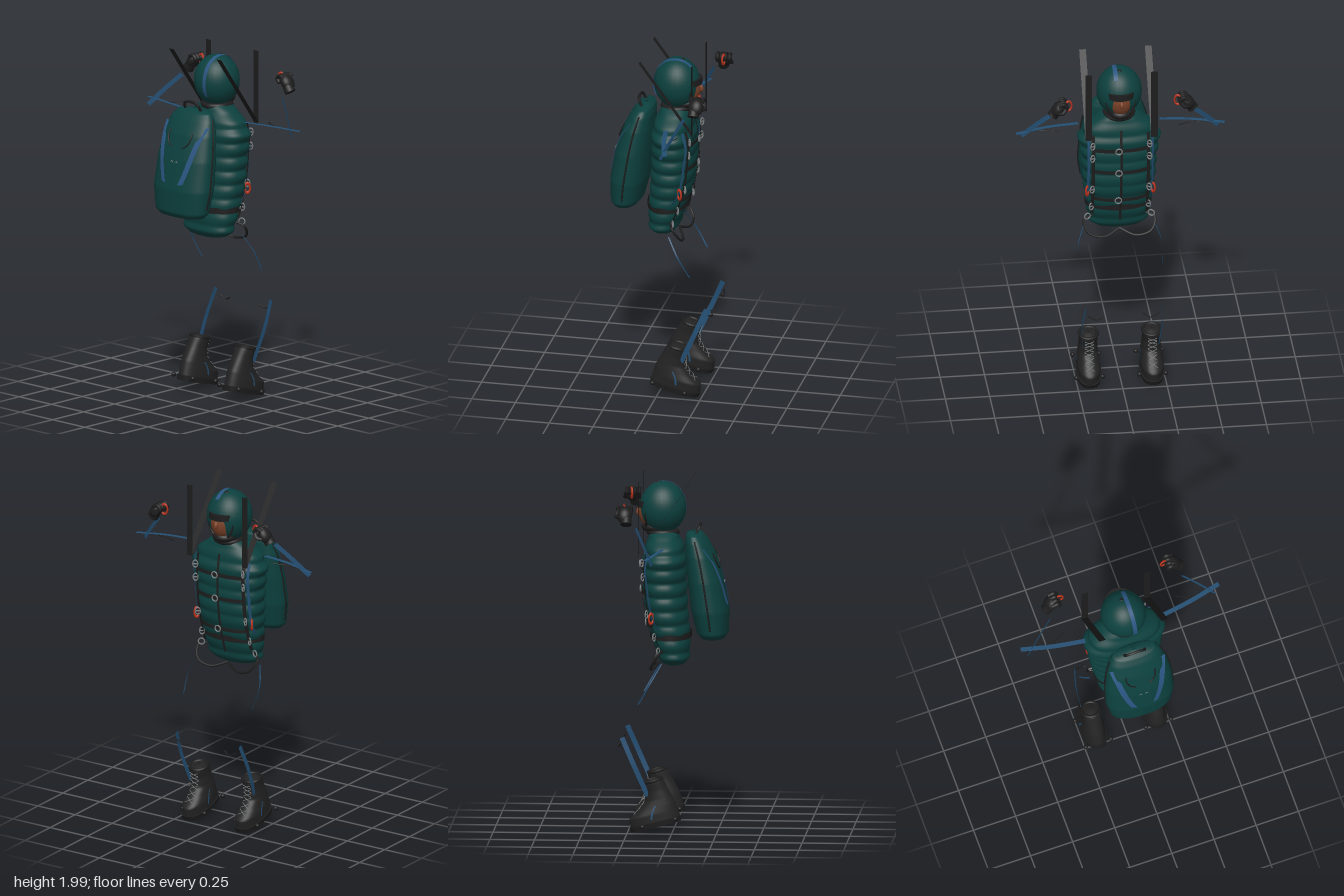
import * as THREE from 'three';
import { mergeVertices } from 'three/addons/utils/BufferGeometryUtils.js';

const mat = (name, color) => {
  const m = new THREE.MeshStandardMaterial({ color, side: THREE.DoubleSide });
  m.name = name;
  return m;
};
const M = {
  teal: mat('teal fabric', 0x0c403e), black: mat('black webbing', 0x1d1d1d), blue: mat('blue webbing', 0x234e72),
  panel: mat('blue panel', 0x2a5480), metal: mat('grey metal', 0x767a7c), red: mat('red metal', 0xb8321c),
  skin: mat('skin', 0x7a4229), boot: mat('boot leather', 0x222222),
};
const V = (p) => new THREE.Vector3(...p);

// Sections are [y, half width, half depth, z centre], interpolated by height
function sectionAt(secs, y) {
  let i = 0;
  while (i < secs.length - 2 && y > secs[i + 1][0]) i++;
  const a = secs[i], b = secs[i + 1];
  const t = THREE.MathUtils.clamp((y - a[0]) / (b[0] - a[0]), 0, 1);
  return a.map((v, k) => v + (b[k] - v) * t);
}
// Closed superellipse body, with optional quilted puffs
function loft(secs, n, rows = 50, puff = 0, period = 0.08) {
  let g = new THREE.CylinderGeometry(1, 1, 1, 48, rows, true);
  const p = g.attributes.position, y0 = secs[0][0], y1 = secs[secs.length - 1][0];
  const pow = (v) => Math.sign(v) * Math.abs(v) ** (2 / n);
  for (let i = 0; i < p.count; i++) {
    const y = y0 + (y1 - y0) * (p.getY(i) + 0.5);
    const [, w, d, z] = sectionAt(secs, y);
    const k = 1 + puff * (Math.abs(Math.sin(((y - y0) / period) * Math.PI)) - 0.6);
    p.setXYZ(i, w * k * pow(p.getX(i)), y, z + d * k * pow(p.getZ(i)));
  }
  g.deleteAttribute('uv');
  g.deleteAttribute('normal');
  g = mergeVertices(g, 1e-5);
  g.computeVertexNormals();
  return g;
}
// Depth of the surface of such a body at x, y
function surfaceZ(secs, n, x, y, side) {
  const [, w, d, z] = sectionAt(secs, y);
  return z + side * d * Math.max(0, 1 - Math.min(1, Math.abs(x) / w) ** n) ** (1 / n);
}
function add(parent, name, geo, material, pos = [0, 0, 0], rot = [0, 0, 0], scale = [1, 1, 1]) {
  const m = new THREE.Mesh(geo, material);
  m.name = name;
  m.position.set(...pos);
  m.rotation.set(...rot);
  m.scale.set(...scale);
  parent.add(m);
  return m;
}
// Flat strip along a curve, widened in a fixed direction
function ribbon(pts, dir, width, steps = 24) {
  const c = new THREE.CatmullRomCurve3(pts.map(V)), d = V(dir).normalize();
  const pos = [], idx = [];
  for (let i = 0; i <= steps; i++) {
    const p = c.getPoint(i / steps);
    for (const s of [-0.5, 0.5]) pos.push(...p.clone().addScaledVector(d, s * width).toArray());
    if (i) idx.push(2 * i - 2, 2 * i - 1, 2 * i, 2 * i, 2 * i - 1, 2 * i + 1);
  }
  const g = new THREE.BufferGeometry();
  g.setAttribute('position', new THREE.Float32BufferAttribute(pos, 3));
  g.setIndex(idx);
  g.computeVertexNormals();
  return g;
}
const tube = (pts, r) => new THREE.TubeGeometry(new THREE.CatmullRomCurve3(pts.map(V)), 24, r, 6);
const ball = new THREE.SphereGeometry(1, 28, 20);

const TORSO = [[0.935, 0.01, 0.01, 0], [0.945, 0.12, 0.06, 0], [0.98, 0.165, 0.085, 0], [1.1, 0.18, 0.105, -0.02],
  [1.25, 0.2, 0.118, -0.045], [1.42, 0.21, 0.122, -0.055], [1.54, 0.23, 0.12, -0.055], [1.61, 0.195, 0.105, -0.055],
  [1.66, 0.14, 0.09, -0.06], [1.7, 0.07, 0.07, -0.06]];
const PACK = [[1.088, 0.01, 0.01, 0.22], [1.092, 0.15, 0.065, 0.218], [1.12, 0.18, 0.088, 0.215], [1.25, 0.2, 0.106, 0.2],
  [1.42, 0.195, 0.1, 0.175], [1.56, 0.175, 0.085, 0.147], [1.64, 0.15, 0.065, 0.125], [1.68, 0.12, 0.045, 0.112], [1.695, 0.01, 0.01, 0.108]];
const onChest = (x, y, lift = 0.012) => [x, y, surfaceZ(TORSO, 2.4, x, y, -1) - lift];
const onPack = (x, y) => [x, y, surfaceZ(PACK, 2.3, x, y, 1) + 0.005];

function buildBoot() {
  const boot = new THREE.Group();
  boot.name = 'boot';
  const upper = [[0.02, 0.01, 0.01, 0], [0.025, 0.066, 0.142, 0], [0.075, 0.066, 0.138, 0.002], [0.11, 0.06, 0.108, 0.03],
    [0.15, 0.054, 0.078, 0.05], [0.2, 0.051, 0.063, 0.052], [0.25, 0.054, 0.058, 0.045], [0.262, 0.045, 0.045, 0.045], [0.264, 0.005, 0.005, 0.045]];
  add(boot, 'bootUpper', loft(upper, 2.2, 36), M.boot);
  add(boot, 'bootSole', loft([[0, 0.01, 0.01, 0], [0.001, 0.068, 0.142, 0], [0.03, 0.072, 0.147, 0], [0.034, 0.01, 0.01, 0]], 2.5, 30), M.black);
  add(boot, 'ankleCollar', new THREE.TorusGeometry(0.05, 0.01, 8, 28), M.black, [0, 0.255, 0.045], [Math.PI / 2, 0, 0]);
  // crossed laces over the instep
  for (let i = 0; i < 6; i++) {
    const y = 0.095 + i * 0.025;
    const z = (yy) => surfaceZ(upper, 2.2, 0.022, yy, -1) - 0.006;
    for (const s of [-1, 1]) {
      add(boot, 'lace', tube([[-s * 0.025, y, z(y)], [0, y + 0.01, z(y + 0.01) - 0.003], [s * 0.025, y + 0.02, z(y + 0.02)]], 0.002), M.metal);
    }
  }
  // blue side tabs and sole studs
  for (const s of [-1, 1]) {
    add(boot, 'sideTab', ribbon([[s * 0.068, 0.05, -0.01], [s * 0.066, 0.09, 0.005], [s * 0.061, 0.12, 0.03]], [0, 0.2, 1], 0.012), M.blue);
    for (const z of [0.12, -0.07]) add(boot, 'stud', ball, M.black, [s * 0.074, 0.022, z], [0, 0, 0], [0.013, 0.013, 0.013]);
  }
  boot.rotation.x = -0.25;
  boot.position.set(0.178, 0.045, -0.09);
  return boot;
}

function buildGlove() {
  const glove = new THREE.Group();
  glove.name = 'glove';
  add(glove, 'palm', ball, M.black, [0.365, 1.835, -0.255], [0, 0, 0.6], [0.033, 0.05, 0.042]);
  add(glove, 'cuff', new THREE.CylinderGeometry(0.028, 0.032, 0.04, 20), M.black, [0.385, 1.803, -0.245], [0, 0, 0.6]);
  for (let i = 0; i < 4; i++) {
    const z = -0.222 - i * 0.023;
    add(glove, 'finger', tube([[0.365, 1.865, z], [0.335, 1.875, z], [0.318, 1.855, z], [0.33, 1.838, z]], 0.011), M.black);
    add(glove, 'fingertip', ball, M.black, [0.33, 1.838, z], [0, 0, 0], [0.011, 0.011, 0.011]);
  }
  add(glove, 'thumb', tube([[0.37, 1.82, -0.285], [0.345, 1.825, -0.302], [0.325, 1.845, -0.295]], 0.011), M.black);
  add(glove, 'redRing', new THREE.TorusGeometry(0.024, 0.006, 8, 24), M.red, [0.308, 1.852, -0.262], [0, 0.2, 0], [0.8, 1.2, 1]);
  return glove;
}

// Parts that appear once on each side, modelled at +x
function buildSide() {
  const side = new THREE.Group();
  side.add(buildBoot(), buildGlove());
  // loose straps above the shoulders
  add(side, 'shoulderStrapFront', ribbon([[0.185, 1.58, -0.19], [0.185, 1.8, -0.19], [0.185, 2, -0.19]], [1, 0, 0], 0.038), M.black);
  add(side, 'shoulderStrapBack', ribbon([[0.185, 1.59, -0.19], [0.185, 1.795, -0.04], [0.185, 2, 0.11]], [1, 0, 0], 0.038), M.black);
  // arm stripes and creases
  add(side, 'upperArmStripe', ribbon([[0.23, 1.62, -0.052], [0.41, 1.622, -0.08], [0.588, 1.615, -0.125]], [0.15, 0, 1], 0.026), M.blue);
  add(side, 'forearmStripe', ribbon([[0.555, 1.58, -0.09], [0.475, 1.675, -0.14], [0.39, 1.765, -0.19]], [0.65, 0.6, 0.42], 0.026), M.blue);
  add(side, 'elbowCrease', tube([[0.33, 1.622, -0.138], [0.39, 1.618, -0.11], [0.46, 1.615, -0.1]], 0.0025), M.black);
  // leg stripes and creases
  add(side, 'thighStripe', ribbon([[0.2, 0.965, -0.06], [0.238, 0.86, -0.12], [0.23, 0.74, -0.188]], [0, 0.5, 0.86], 0.014), M.blue);
  add(side, 'shinStripe', ribbon([[0.213, 0.55, -0.28], [0.225, 0.4, -0.215], [0.215, 0.22, -0.135]], [0, 0.4, 0.91], 0.028), M.blue);
  add(side, 'kneeCrease', tube([[0.112, 0.508, -0.285], [0.15, 0.49, -0.3], [0.2, 0.51, -0.29]], 0.0035), M.black);
  // leg loops of the harness
  add(side, 'legLoop', tube([[0.15, 1.03, -0.06], [0.2, 1.01, -0.08], [0.175, 0.945, -0.12], [0.09, 0.92, -0.12], [0, 0.95, -0.08]], 0.007), M.black);
  add(side, 'hipRing', new THREE.TorusGeometry(0.018, 0.004, 8, 20), M.metal, [0.18, 1.035, -0.08], [0, 0.4, 0]);
  // chest webbing
  const ys = [1.59, 1.5, 1.4, 1.3, 1.2, 1.1, 1.05];
  add(side, 'chestStrap', ribbon(ys.map((y) => onChest(0.155, y)), [1, 0, 0.4], 0.02), M.black);
  add(side, 'chestRope', ribbon(ys.slice(0, 6).map((y) => onChest(0.18, y, 0.016)), [1, 0, 0.8], 0.016), M.blue);
  for (const y of [1.53, 1.45, 1.24, 1.11]) {
    add(side, 'buckle', new THREE.TorusGeometry(0.018, 0.004, 8, 20), M.metal, onChest(0.16, y, 0.022), [0, 0.5, 0], [0.8, 1.15, 1]);
    add(side, 'buckleBar', new THREE.BoxGeometry(0.03, 0.006, 0.006), M.metal, onChest(0.16, y, 0.022), [0, 0.5, 0]);
  }
  add(side, 'redClip', new THREE.TorusGeometry(0.017, 0.006, 8, 20), M.red, onChest(0.185, 1.22, 0.03), [0, 0.9, 0], [0.9, 1.6, 1]);
  // pack decoration
  add(side, 'packPanel', ribbon([[0.148, 1.61], [0.13, 1.53], [0.108, 1.43], [0.085, 1.35], [0.063, 1.29]].map((p) => onPack(...p)), [1, 0.2, -0.25], 0.036), M.panel);
  add(side, 'packCord', tube([[0.085, 1.58], [0.085, 1.545], [0.07, 1.51], [0.04, 1.49]].map((p) => onPack(...p)), 0.004), M.black);
  add(side, 'packMark', tube([[0.008, 1.408], [0.018, 1.416], [0.026, 1.408]].map((p) => onPack(...p)), 0.002), M.metal);
  add(side, 'packSeam', tube([1.15, 1.25, 1.35, 1.45, 1.55, 1.65].map((y) => {
    const [, w, , z] = sectionAt(PACK, y);
    return [w + 0.001, y, z];
  }), 0.005), M.black);
  return side;
}

export function createModel() {
  const model = new THREE.Group();
  model.name = 'climber';
  add(model, 'quiltedTorso', loft(TORSO, 2.4, 90, 0.07), M.teal);
  add(model, 'backpack', loft(PACK, 2.3, 70), M.teal);
  add(model, 'packHandle', tube([[-0.062, 1.675, 0.12], [-0.05, 1.72, 0.142], [0, 1.733, 0.145], [0.05, 1.72, 0.142], [0.062, 1.675, 0.12]], 0.008), M.black);
  // hood, face and goggles
  add(model, 'hood', ball, M.teal, [0, 1.825, -0.065], [0, 0, 0], [0.128, 0.146, 0.13]);
  add(model, 'face', ball, M.skin, [0, 1.805, -0.118], [0, 0, 0], [0.075, 0.1, 0.085]);
  add(model, 'nose', ball, M.skin, [0, 1.8, -0.2], [0.2, 0, 0], [0.013, 0.022, 0.016]);
  add(model, 'hoodRim', new THREE.TorusGeometry(0.085, 0.007, 8, 40), M.black, [0, 1.81, -0.155], [0, 0, 0], [0.95, 1.22, 1]);
  add(model, 'goggles', new THREE.CylinderGeometry(0.085, 0.085, 0.036, 32, 1, false, Math.PI * 0.68, Math.PI * 0.64), M.black, [0, 1.845, -0.122]);
  add(model, 'chinGuard', ball, M.black, [0, 1.715, -0.105], [0, 0, 0], [0.072, 0.038, 0.08]);
  add(model, 'collar', new THREE.TorusGeometry(0.075, 0.018, 10, 36), M.black, [0, 1.685, -0.065], [Math.PI / 2, 0, 0]);
  const arc = [];
  for (let i = 0; i <= 16; i++) {
    const a = -0.55 + (i / 16) * 2.85;
    arc.push([0.026, 1.825 + 0.146 * Math.sin(a), -0.065 + 0.131 * Math.cos(a)]);
  }
  add(model, 'hoodStripe', ribbon(arc, [1, -0.1, 0], 0.024, 40), M.panel);
  add(model, 'hoodButton', ball, M.black, [0, 1.963, -0.095], [0, 0, 0], [0.012, 0.008, 0.012]);
  // hip belt following the torso
  const belt = [];
  for (let i = 0; i <= 40; i++) {
    const a = (i / 40) * Math.PI * 2;
    belt.push([0.189 * Math.sin(a), 1.11, -0.02 + 0.116 * Math.cos(a)]);
  }
  add(model, 'hipBelt', ribbon(belt, [0, 1, 0], 0.034, 80), M.black);
  // straps across and down the chest
  for (const [y, w] of [[1.36, 0.16], [1.17, 0.16], [1.5, 0.155]]) {
    add(model, 'crossStrap', ribbon([-1, -0.5, 0, 0.5, 1].map((k) => onChest(k * w, y)), [0, 1, 0], 0.022), M.black);
    add(model, 'centreBuckle', new THREE.TorusGeometry(0.018, 0.004, 8, 20), M.metal, onChest(0.015, y, 0.02));
  }
  add(model, 'frontZip', ribbon([1.62, 1.5, 1.35, 1.2, 1.02].map((y) => onChest(0, y)), [1, 0, 0], 0.014), M.black);
  // paired parts
  const left = buildSide(), right = buildSide();
  left.name = 'leftSide';
  right.name = 'rightSide';
  right.scale.x = -1;
  model.add(left, right);
  return model;
}
